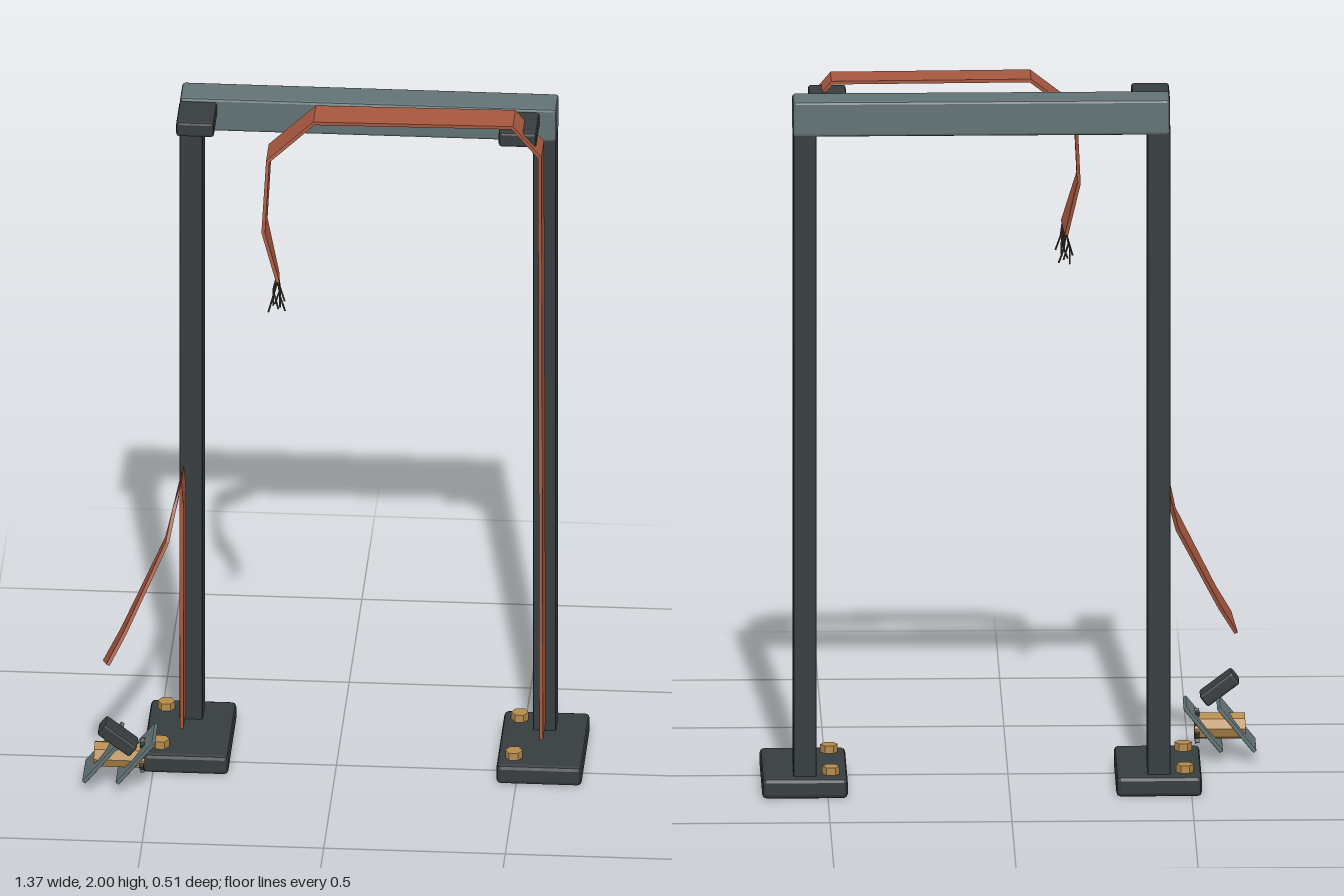
import * as THREE from 'three';
import { RoundedBoxGeometry } from 'three/addons/geometries/RoundedBoxGeometry.js';

const mat = (name, color, side = THREE.FrontSide) => {
  const m = new THREE.MeshStandardMaterial({ color, side });
  m.name = name;
  return m;
};

// Thin strap through stations [x, y, z, wx, wy, wz]: centre and half-width vector.
function strapGeometry(stations, thickness = 0.01) {
  const c = stations.map(s => new THREE.Vector3(s[0], s[1], s[2]));
  const rings = stations.map((s, i) => {
    const w = new THREE.Vector3(s[3], s[4], s[5]);
    const t = new THREE.Vector3();
    if (i > 0) t.add(c[i].clone().sub(c[i - 1]).normalize());
    if (i < c.length - 1) t.add(c[i + 1].clone().sub(c[i]).normalize());
    const n = t.cross(w).normalize().multiplyScalar(thickness / 2);
    return [[-1, -1], [1, -1], [1, 1], [-1, 1]].map(([a, b]) =>
      c[i].clone().addScaledVector(w, a).addScaledVector(n, b));
  });
  const pos = [];
  const quad = (p, q, r, s) => [p, q, r, p, r, s].forEach(v => pos.push(v.x, v.y, v.z));
  for (let i = 0; i < rings.length - 1; i++) {
    for (let k = 0; k < 4; k++) {
      const j = (k + 1) % 4;
      quad(rings[i][j], rings[i][k], rings[i + 1][k], rings[i + 1][j]);
    }
  }
  const last = rings[rings.length - 1];
  quad(...rings[0]);
  quad(last[3], last[2], last[1], last[0]);
  const g = new THREE.BufferGeometry();
  g.setAttribute('position', new THREE.Float32BufferAttribute(pos, 3));
  g.computeVertexNormals();
  return g;
}

export function createModel() {
  const dark = mat('dark steel', 0x363d3f);
  const grey = mat('grey steel', 0x627275);
  const brass = mat('brass', 0xb58b4c);
  const webbing = mat('rust webbing', 0xa6573f, THREE.DoubleSide);
  const fray = mat('frayed thread', 0x51463c);

  const model = new THREE.Group();
  const add = (name, geo, material, x = 0, y = 0, z = 0, parent = model) => {
    const m = new THREE.Mesh(geo, material);
    m.name = name;
    m.position.set(x, y, z);
    parent.add(m);
    return m;
  };
  // Box with chamfered edges and flat faces
  const chamferBox = (w, h, d, r) => {
    const g = new RoundedBoxGeometry(w, h, d, 1, r);
    g.computeVertexNormals();
    return g;
  };

  // Frame: two posts on foot plates, with bolts and strap brackets
  for (const [side, cx] of [['right', -0.41], ['left', 0.563]]) {
    add(side + 'FootPlate', chamferBox(0.235, 0.058, 0.34, 0.012), dark, cx, 0.031, -0.085);
    add(side + 'Post', chamferBox(0.064, 1.85, 0.092, 0.006), dark, cx, 0.975, -0.182);
    for (const z of [-0.2, 0.03]) {
      const bolt = add(side + 'Bolt', new THREE.CylinderGeometry(0.024, 0.024, 0.024, 6).toNonIndexed(),
        brass, cx - 0.072, 0.07, z);
      bolt.geometry.computeVertexNormals();
      bolt.rotation.y = Math.PI / 6;
    }
  }
  add('crossBeam', chamferBox(1.036, 0.1, 0.1, 0.008), grey, 0.078, 1.93, -0.18);
  add('rightBracket', chamferBox(0.104, 0.045, 0.14, 0.008), dark, -0.39, 1.947, -0.073);
  add('leftBracket', chamferBox(0.104, 0.045, 0.14, 0.008), dark, 0.498, 1.947, -0.073);

  // Long strap: up the left post, over the top, hanging torn end
  add('longStrap', strapGeometry([
    [0.565, 0.11, -0.036, 0, 0, 0.054],
    [0.563, 1.0, -0.035, 0, 0, 0.052],
    [0.561, 1.905, -0.034, 0, 0, 0.05],
    [0.485, 1.995, -0.034, 0, 0, 0.05],
    [-0.06, 1.995, -0.023, 0, 0, 0.05],
    [-0.185, 1.89, 0.01, 0, 0, 0.051],
    [-0.195, 1.685, 0.045, 0, 0.003, 0.05],
    [-0.157, 1.537, 0.067, 0.004, 0.008, 0.047],
  ]), webbing);

  // Short strap: up the right post, then folded over and drooping outwards
  add('shortStrap', strapGeometry([
    [-0.425, 0.11, -0.034, 0, 0, 0.054],
    [-0.425, 0.8, -0.03, 0, 0, 0.052],
    [-0.427, 0.872, -0.022, 0, 0, 0.05],
    [-0.442, 0.8, 0.015, 0, 0.01, 0.05],
    [-0.462, 0.71, 0.055, 0.004, 0.018, 0.049],
    [-0.577, 0.465, 0.14, 0.007, 0.018, 0.047],
    [-0.622, 0.383, 0.172, 0.008, 0.018, 0.047],
  ]), webbing);

  // Loose threads at the torn end
  const threads = new THREE.Group();
  threads.name = 'frayedThreads';
  model.add(threads);
  for (let i = 0; i < 7; i++) {
    const u = i / 6;
    const top = new THREE.Vector3(-0.16 + 0.007 * u, 1.532 + 0.014 * u, 0.024 + 0.086 * u);
    const mid = top.clone().add(new THREE.Vector3(i % 2 ? -0.012 : 0.006, -0.045, 0.002));
    const tip = mid.clone().add(new THREE.Vector3(0.014 * (1 - (i % 3)), -0.04 - 0.01 * (i % 2), 0.007));
    const path = new THREE.CurvePath();
    path.add(new THREE.LineCurve3(top, mid));
    path.add(new THREE.LineCurve3(mid, tip));
    add('thread', new THREE.TubeGeometry(path, 4, 0.0025, 4), fray, 0, 0, 0, threads);
  }

  // Fallen ratchet buckle
  const buckle = new THREE.Group();
  buckle.name = 'ratchetBuckle';
  buckle.position.set(-0.585, 0.098, 0.155);
  model.add(buckle);
  for (const x of [-0.046, 0.046]) {
    const plate = add('bucklePlate', chamferBox(0.012, 0.16, 0.13, 0.003), grey, x, 0, 0, buckle);
    plate.rotation.z = -0.68;
  }
  const drum = new THREE.CylinderGeometry(0.037, 0.037, 0.14, 8).toNonIndexed();
  drum.computeVertexNormals();
  add('buckleDrum', drum, brass, 0, -0.004, 0, buckle).rotation.z = Math.PI / 2;
  for (let i = 0; i < 8; i++) {
    const a = (i + 0.5) * Math.PI / 4;
    const tooth = add('ratchetTooth', new THREE.BoxGeometry(0.012, 0.012, 0.012), dark,
      0.062, -0.004 + 0.042 * Math.cos(a), 0.042 * Math.sin(a), buckle);
    tooth.rotation.x = a;
  }
  const handle = add('buckleHandle', chamferBox(0.112, 0.04, 0.064, 0.007), dark, -0.001, 0.087, 0.068, buckle);
  handle.rotation.z = -0.65;

  return model;
}
